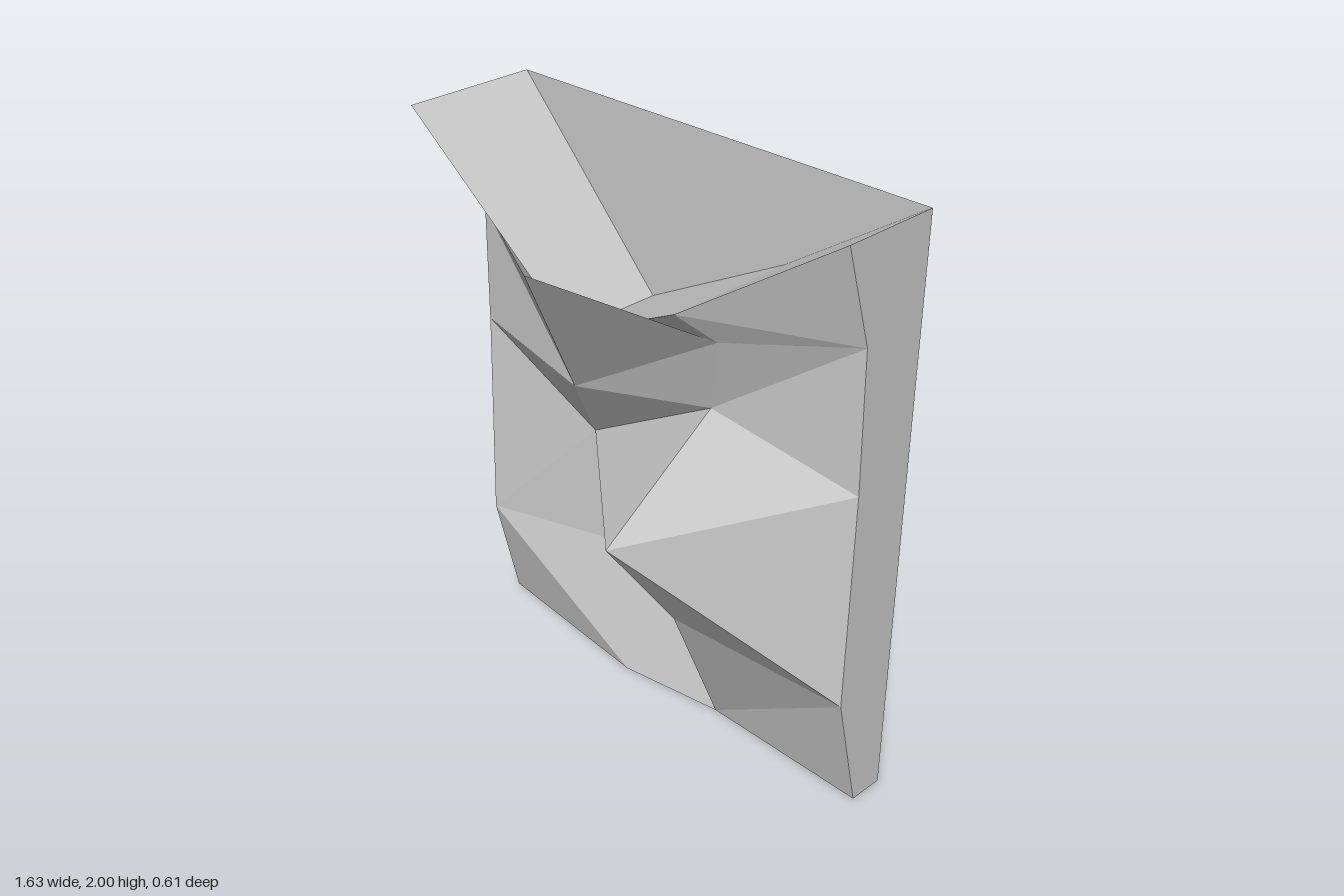
import * as THREE from 'three';

// Corner points of the faceted front: L left edge, R right edge, B bottom edge,
// T top edge, P upper and middle facets, Q lower facets
const POINTS = {
  L0: [-0.815, 1.97, 0.163], L1: [-0.815, 1.555, -0.107], L2: [-0.815, 1.147, -0.106],
  L3: [-0.815, 0.393, -0.09], L4: [-0.815, 0, -0.182],
  B1: [-0.165, 0, -0.123], B2: [0.208, 0, -0.182],
  R5: [0.815, 0, -0.182], R4: [0.815, 0.435, -0.08], R3: [0.815, 1.19, -0.086],
  R2: [0.815, 1.667, -0.072], R1: [0.815, 2, 0.032],
  T1: [0.315, 1.665, 0.155], T2: [-0.232, 1.37, 0.056],
  P1: [-0.143, 1.675, 0.303], P2: [-0.285, 1.133, -0.01], P3: [-0.37, 0.865, -0.175],
  P4: [0.172, 0.867, 0.287], P5: [0.317, 1.305, -0.003], P6: [0.4, 1.577, 0.066],
  Q1: [-0.14, 0.467, -0.22], Q2: [0.225, 0.515, 0.045],
};

// Each row lists triangles, three corners at a time
const FRONT_FACES = [
  'L1 T2 L0 T2 L1 P1 T2 P1 P6 T2 P6 T1',
  'T1 P6 R2 T1 R2 R1 L1 P2 P1 P1 P2 P6',
  'L1 L2 P2 L2 P3 P2 P2 P3 P5 P2 P5 P6',
  'P6 P5 R2 P5 R3 R2 P3 P4 P5 P4 R3 P5',
  'P4 R4 R3 L2 L3 P3 L3 Q1 P3 P3 Q1 P4',
  'Q1 Q2 P4 P4 Q2 R4 L3 B1 Q1 L3 L4 B1',
  'Q1 B1 B2 Q1 B2 Q2 Q2 B2 R4 B2 R5 R4',
];

const RIM = 'L0 L1 L2 L3 L4 B1 B2 R5 R4 R3 R2 R1 T1 T2';
const BACK_Z = -0.305;

const lookUp = (names) => names.split(' ').map((n) => POINTS[n]);
const toBack = ([x, y]) => [x, y, BACK_Z];

// Flat-shaded mesh from a list of triangle corners
function facetMesh(name, corners, material) {
  const geometry = new THREE.BufferGeometry();
  geometry.setAttribute('position', new THREE.Float32BufferAttribute(corners.flat(), 3));
  geometry.computeVertexNormals();
  const mesh = new THREE.Mesh(geometry, material);
  mesh.name = name;
  return mesh;
}

export function createModel() {
  const group = new THREE.Group();
  group.name = 'rockWallPanel';
  const stone = new THREE.MeshStandardMaterial({ color: 0xcccccc, side: THREE.DoubleSide, flatShading: true });
  stone.name = 'grey stone';

  // Faceted front
  group.add(facetMesh('rockFace', FRONT_FACES.flatMap(lookUp), stone));

  // Sides, bottom and notched top, drawn straight back from the rim
  const rim = lookUp(RIM);
  const sides = rim.flatMap((a, i) => {
    const b = rim[(i + 1) % rim.length];
    return [b, a, toBack(a), b, toBack(a), toBack(b)];
  });
  group.add(facetMesh('sides', sides, stone));

  // Flat back sheet, which rises above the notch
  const [tl, bl, br, tr] = lookUp('L0 L4 R5 R1').map(toBack);
  group.add(facetMesh('backSheet', [tl, br, bl, tl, tr, br], stone));

  return group;
}
